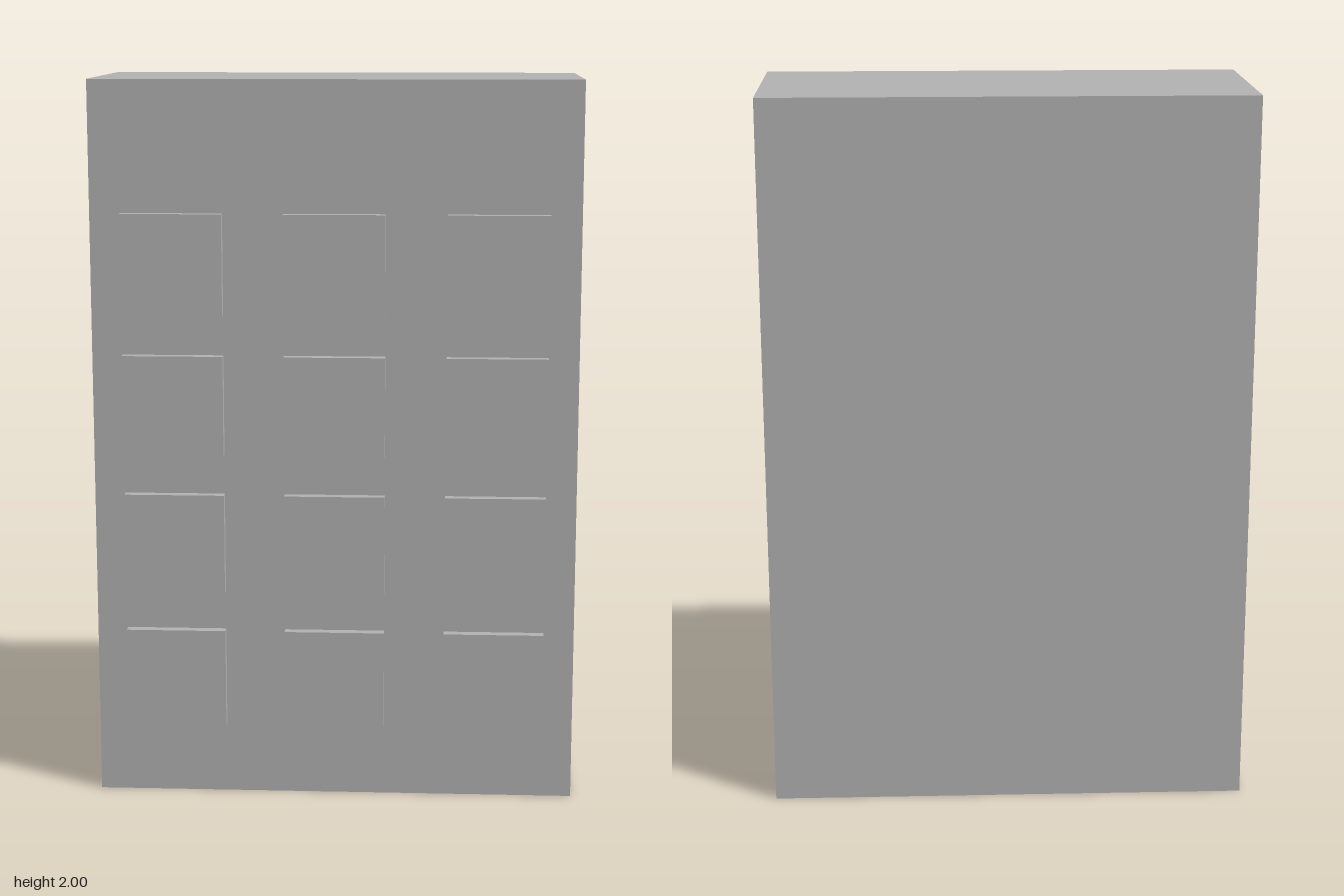
import * as THREE from 'three';

export function createModel() {
  const model = new THREE.Group();
  model.name = 'keypad';

  const grey = new THREE.MeshStandardMaterial({ color: 0xb2b2b2 });
  grey.name = 'grey';

  // Housing: a plain upright block
  const front = 0.263, back = -0.291;
  const housing = new THREE.Mesh(new THREE.BoxGeometry(1.332, 2, front - back), grey);
  housing.name = 'housing';
  housing.position.set(0, 1, (front + back) / 2);
  model.add(housing);

  // Keys: four rows of three raised square buttons
  const keys = new THREE.Group();
  keys.name = 'keys';
  const keyGeometry = new THREE.BoxGeometry(0.277, 0.277, 0.028);
  for (let row = 0; row < 4; row++) {
    for (let column = 0; column < 3; column++) {
      const key = new THREE.Mesh(keyGeometry, grey);
      key.name = `key row ${row + 1} column ${column + 1}`;
      key.position.set((column - 1) * 0.443, 1.503 - row * 0.388, front + 0.014);
      keys.add(key);
    }
  }
  model.add(keys);

  return model;
}
